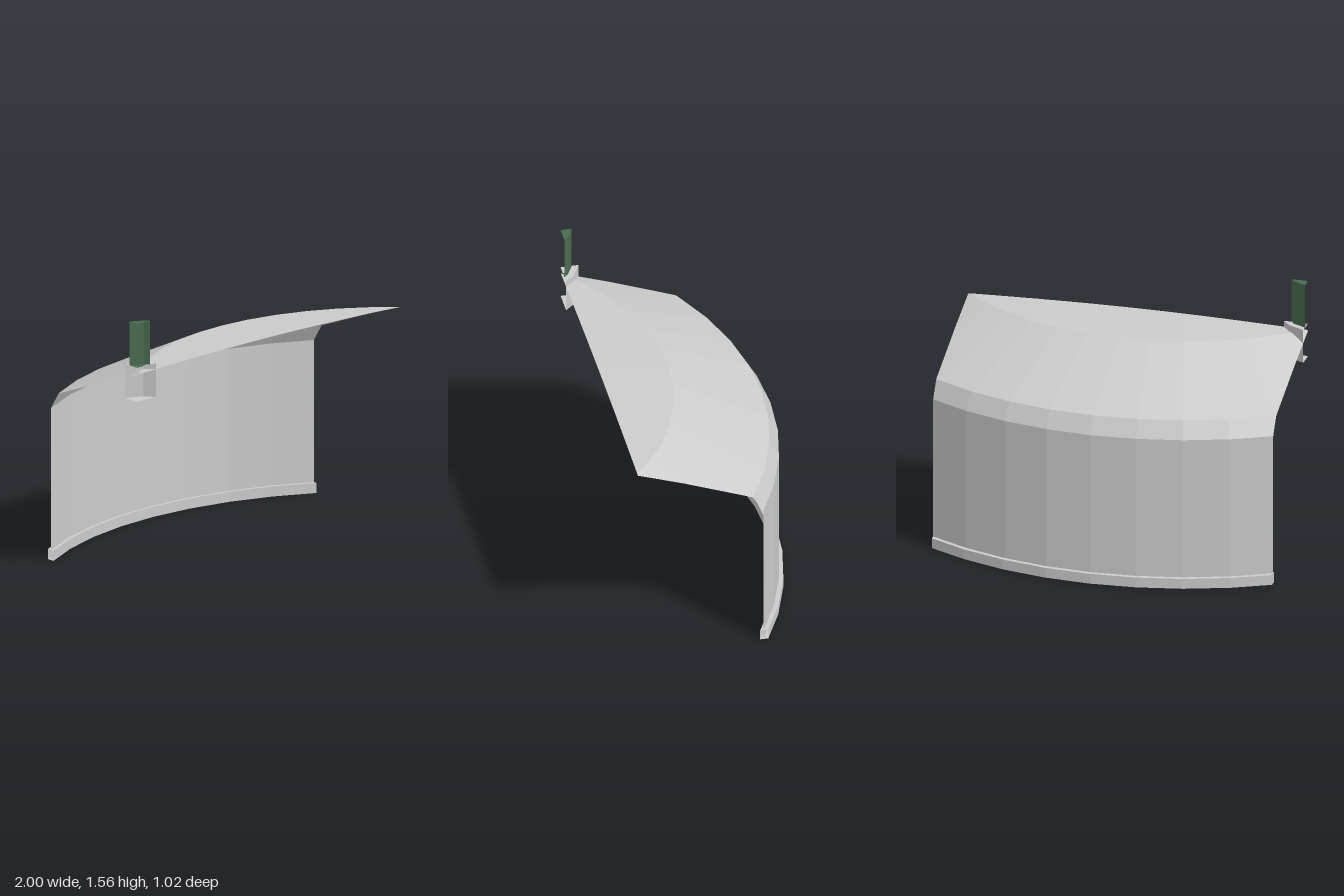
import * as THREE from 'three';

// Only the part of the round building inside this block remains: |x| <= 1, z <= 0.51
const PLANES = [
  new THREE.Plane(new THREE.Vector3(1, 0, 0), 1),
  new THREE.Plane(new THREE.Vector3(-1, 0, 0), 1),
  new THREE.Plane(new THREE.Vector3(0, 0, -1), 0.51),
];
const AXIS_Z = 1.54; // centre of the round building

function clipPolygon(points, plane) {
  const out = [];
  points.forEach((a, i) => {
    const b = points[(i + 1) % points.length];
    const da = plane.distanceToPoint(a), db = plane.distanceToPoint(b);
    if (da >= 0) out.push(a);
    if ((da >= 0) !== (db >= 0)) out.push(a.clone().lerp(b, da / (da - db)));
  });
  return out;
}

// Cuts a geometry along the block's planes, leaving open edges and flat facets
function cutToBlock(geometry) {
  const source = geometry.toNonIndexed().getAttribute('position');
  const positions = [];
  const triangle = new THREE.Triangle();
  for (let i = 0; i < source.count; i += 3) {
    let poly = [0, 1, 2].map((k) => new THREE.Vector3().fromBufferAttribute(source, i + k));
    for (const plane of PLANES) poly = clipPolygon(poly, plane);
    for (let k = 1; k < poly.length - 1; k++) {
      triangle.set(poly[0], poly[k], poly[k + 1]);
      if (triangle.getArea() < 1e-8) continue;
      for (const p of [poly[0], poly[k], poly[k + 1]]) positions.push(p.x, p.y, p.z);
    }
  }
  const result = new THREE.BufferGeometry();
  result.setAttribute('position', new THREE.Float32BufferAttribute(positions, 3));
  result.computeVertexNormals();
  return result;
}

export function createModel() {
  const group = new THREE.Group();
  const grey = new THREE.MeshStandardMaterial({ color: 0xcccccc, flatShading: true, side: THREE.DoubleSide });
  const green = grey.clone();
  green.color.set(0x4a6b4f);

  const add = (name, geometry, material = grey) => {
    const mesh = new THREE.Mesh(cutToBlock(geometry), material);
    mesh.name = name;
    group.add(mesh);
  };
  // Profile points are [radius, height]
  const ring = (name, profile) => {
    const points = profile.map(([r, y]) => new THREE.Vector2(r, y));
    add(name, new THREE.LatheGeometry(points, 48).translate(0, 0, AXIS_Z));
  };
  const post = (name, radius, bottom, top, material) => {
    const geometry = new THREE.CylinderGeometry(radius, radius, top - bottom, 16, 1, false, 0.12);
    add(name, geometry.translate(-1.077, (bottom + top) / 2, 0.676), material);
  };

  // Curved wall, bevelled eave and roof
  ring('wall', [[2.025, 0], [2.025, 0.9]]);
  ring('eave', [[2.025, 0.9], [1.97, 1]]);
  ring('roofSlope', [[1.97, 1], [1.43, 1.26]]);
  ring('roofTop', [[1.43, 1.26], [0, 1.33]]);

  // Raised band around the foot of the wall
  ring('baseBand', [[2.007, 0], [2.05, 0], [2.05, 0.06], [2.007, 0.06], [2.007, 0]]);

  // Corner collar with the green post on it
  post('postCollar', 0.28, 1.1, 1.3, grey);
  post('cornerPost', 0.245, 1.3, 1.56, green);

  return group;
}
